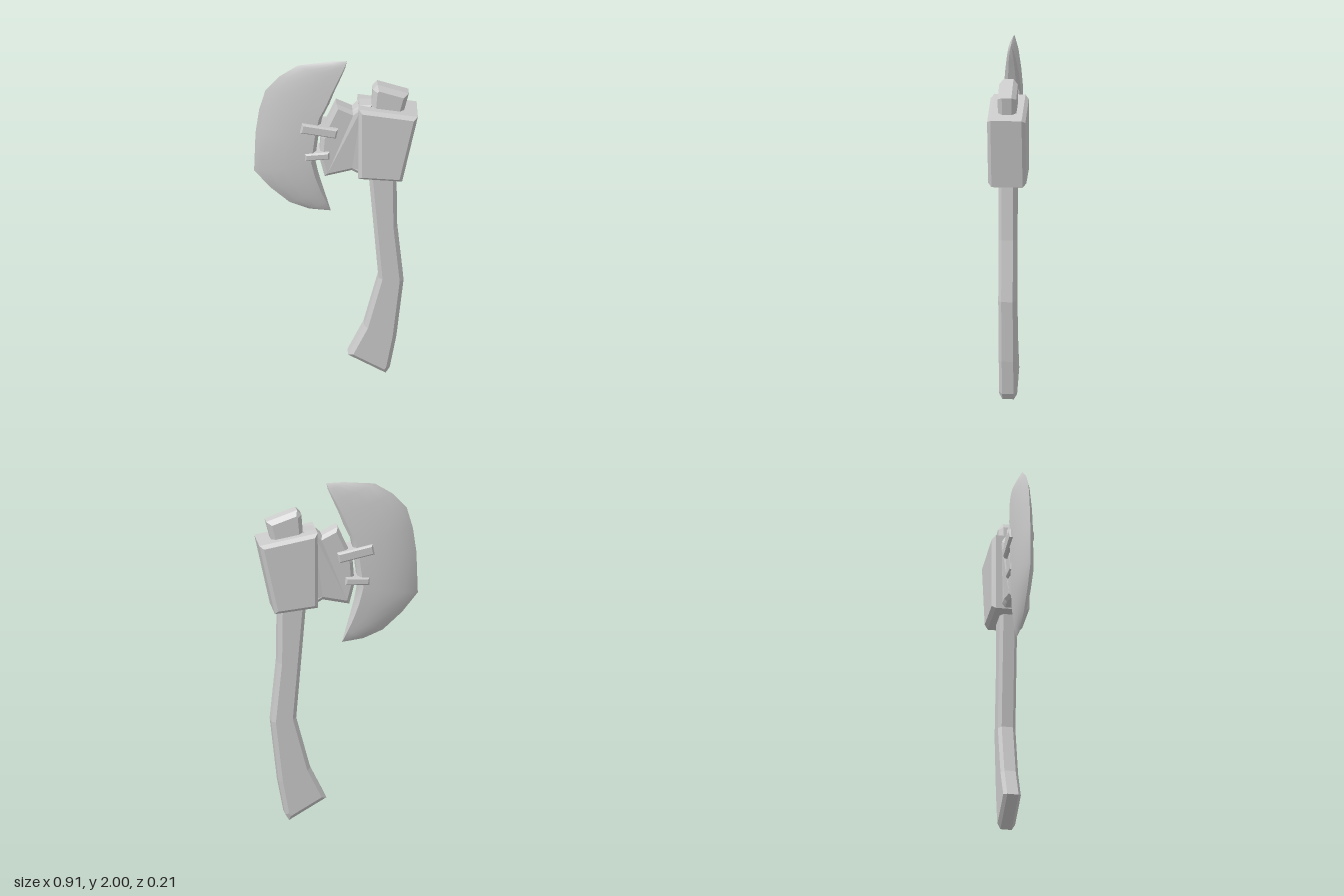
import * as THREE from 'three';
import { toCreasedNormals } from 'three/addons/utils/BufferGeometryUtils.js';

const material = new THREE.MeshStandardMaterial({ color: 0xcccccc });

// Slab with a chamfered rim: outline in x/y, centred on z = 0
function slab(name, outline, halfDepth, bevel, bevelZ = bevel) {
  const shape = new THREE.Shape(outline.map(([x, y]) => new THREE.Vector2(x, y)));
  const geometry = new THREE.ExtrudeGeometry(shape, {
    depth: 2 * (halfDepth - bevelZ),
    bevelEnabled: true,
    bevelSegments: 1,
    bevelSize: bevel,
    bevelOffset: -bevel,
    bevelThickness: bevelZ,
  });
  geometry.translate(0, 0, bevelZ - halfDepth);
  const mesh = new THREE.Mesh(geometry, material);
  mesh.name = name;
  return mesh;
}

function strap(name, x, y, length, height, depth, angle) {
  const l = length / 2, h = height / 2;
  const mesh = slab(name, [[-l, -h], [l, -h], [l, h], [-l, h]], depth / 2, 0.009);
  mesh.position.set(x, y, 0);
  mesh.rotation.z = angle;
  return mesh;
}

// Blade: closed cross-sections from the upper tip to the lower tip
function blade() {
  // cutting edge x, y, back edge x, y, half thickness
  const rows = [
    [0.06, 2.0, 0.06, 2.0, 0],
    [-0.035, 2.0, 0.05, 1.96, 0.016],
    [-0.215, 1.98, 0.025, 1.9, 0.028],
    [-0.32, 1.91, -0.01, 1.82, 0.038],
    [-0.395, 1.825, -0.04, 1.74, 0.045],
    [-0.43, 1.7, -0.078, 1.66, 0.051],
    [-0.45, 1.555, -0.1, 1.54, 0.054],
    [-0.458, 1.31, -0.12, 1.38, 0.054],
    [-0.37, 1.2, -0.1, 1.28, 0.047],
    [-0.26, 1.1, -0.075, 1.19, 0.036],
    [-0.15, 1.055, -0.05, 1.11, 0.02],
    [-0.03, 1.04, -0.03, 1.04, 0],
  ];
  const steps = [0, 0.25, 0.5, 0.75, 0.9, 1];
  const positions = [], index = [];
  let ring = 0;
  rows.forEach(([ox, oy, ix, iy, h]) => {
    const ridgeX = ix - 0.4 * h;
    const half = [[ix, iy, 0.5 * h]];
    for (const u of steps) {
      half.push([
        THREE.MathUtils.lerp(ridgeX, ox, u),
        THREE.MathUtils.lerp(iy, oy, u),
        h * (1 - u ** 3),
      ]);
    }
    const back = half.slice(0, -1).reverse().map(([x, y, z]) => [x, y, -z]);
    const section = [...half, ...back];
    ring = section.length;
    section.forEach((p) => positions.push(...p));
  });
  for (let i = 0; i < rows.length - 1; i++) {
    for (let j = 0; j < ring; j++) {
      const a = i * ring + j, b = i * ring + ((j + 1) % ring);
      index.push(a, b, b + ring, a, b + ring, a + ring);
    }
  }
  const geometry = new THREE.BufferGeometry();
  geometry.setAttribute('position', new THREE.Float32BufferAttribute(positions, 3));
  geometry.setIndex(index);
  const mesh = new THREE.Mesh(toCreasedNormals(geometry, 0.5), material);
  mesh.name = 'blade';
  return mesh;
}

// Cheek: plate between head and blade, flaring thicker where it meets the head
function cheek() {
  const mesh = slab('cheek', [
    [-0.065, 1.28], [0.085, 1.315], [0.13, 1.293], [0.2, 1.293], [0.2, 1.737],
    [0.13, 1.737], [0.09, 1.7], [0, 1.745], [-0.065, 1.6], [-0.085, 1.53], [-0.095, 1.4],
  ], 0.045, 0.02, 0.015);
  const p = mesh.geometry.attributes.position;
  for (let i = 0; i < p.count; i++) {
    if (p.getX(i) > 0.105) p.setZ(i, p.getZ(i) * 1.22);
  }
  mesh.geometry.computeVertexNormals();
  return mesh;
}

export function createModel() {
  const model = new THREE.Group();
  model.name = 'axe';
  model.add(
    // Bent wooden handle and its end above the head
    slab('handle', [
      [0.065, 0.125], [0.275, 0.003], [0.298, 0.04], [0.335, 0.24], [0.375, 0.6],
      [0.34, 0.95], [0.335, 1.35], [0.175, 1.35], [0.235, 0.617], [0.155, 0.31],
    ], 0.05, 0.022, 0.018),
    slab('handleTop', [[0.19, 1.64], [0.365, 1.64], [0.405, 1.8], [0.23, 1.86], [0.205, 1.83]],
      0.052, 0.025, 0.025),
    slab('head', [[0.12, 1.29], [0.365, 1.267], [0.453, 1.682], [0.123, 1.738]], 0.107, 0.02),
    cheek(),
    blade(),
    // Lashings joining blade and cheek
    strap('upperStrap', -0.098, 1.588, 0.205, 0.06, 0.14, -0.2),
    strap('lowerStrap', -0.108, 1.42, 0.137, 0.046, 0.125, 0.06),
  );
  return model;
}
